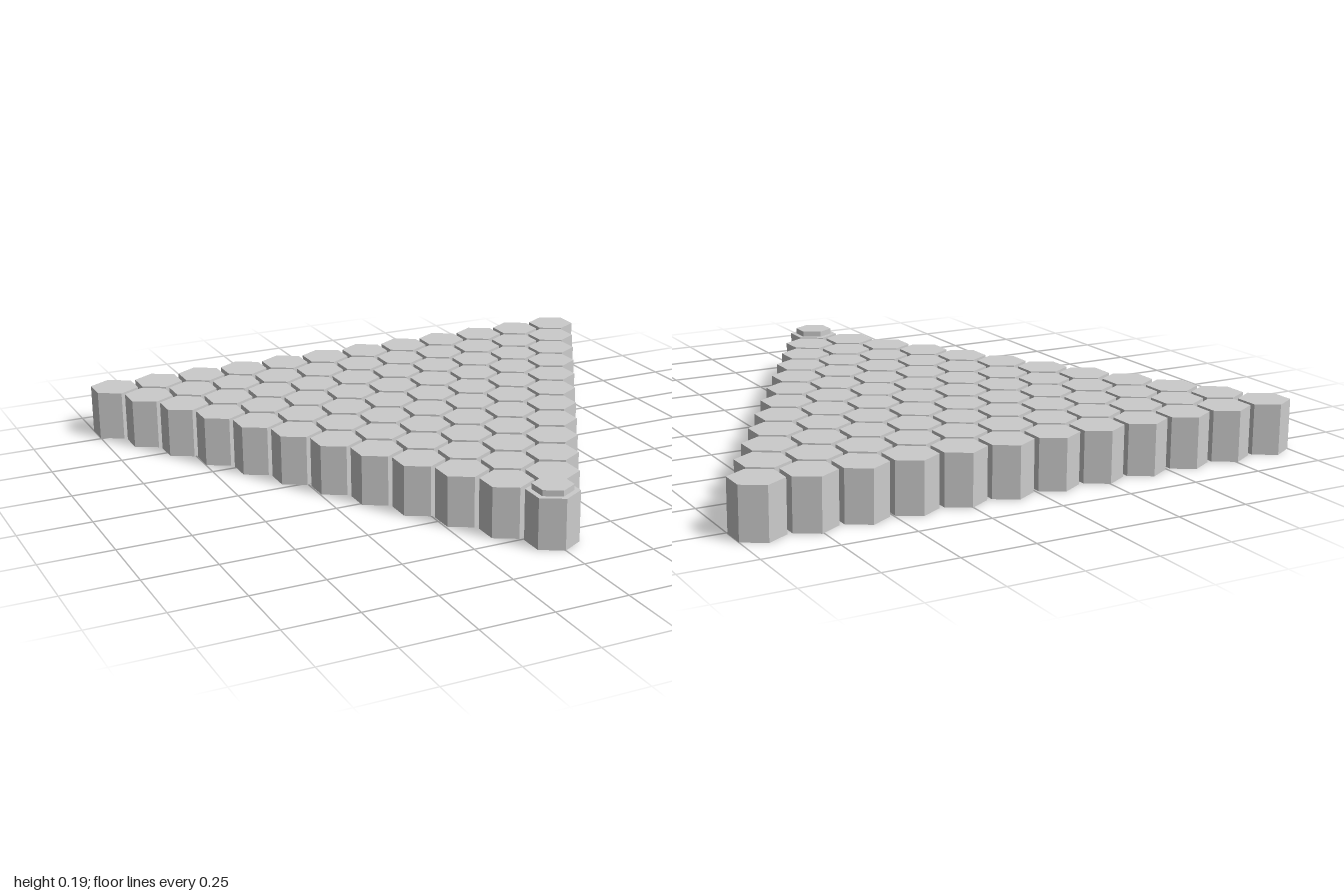
import * as THREE from 'three';

const ROWS = 12;
const CELL = 2 / (11.9 * Math.sqrt(3)); // circumradius of one grid cell
const STEP_X = CELL * Math.sqrt(3);
const STEP_Z = CELL * 1.5;
const HEIGHT = 0.174;

export function createModel() {
  const model = new THREE.Group();
  model.name = 'hexTileBoard';
  const material = new THREE.MeshStandardMaterial({ color: 0xcccccc, flatShading: true });

  // Upright hexagonal prism standing on its base height, corners along z
  const addPrism = (name, radius, height, x, base, z) => {
    const mesh = new THREE.Mesh(new THREE.CylinderGeometry(radius, radius, height, 6), material);
    mesh.name = name;
    mesh.position.set(x, base + height / 2, z);
    model.add(mesh);
  };

  // Triangle of tiles: one at the front, twelve along the back
  const frontZ = ((ROWS - 1) / 2) * STEP_Z;
  for (let row = 0; row < ROWS; row++) {
    for (let i = 0; i <= row; i++) {
      addPrism(`tile_${row + 1}_${i + 1}`, CELL * 0.9, HEIGHT, (i - row / 2) * STEP_X, 0, frontZ - row * STEP_Z);
    }
  }

  // Thin raised plate on the front tile
  addPrism('frontMarker', 0.067, 0.02, 0, HEIGHT, frontZ);
  return model;
}
